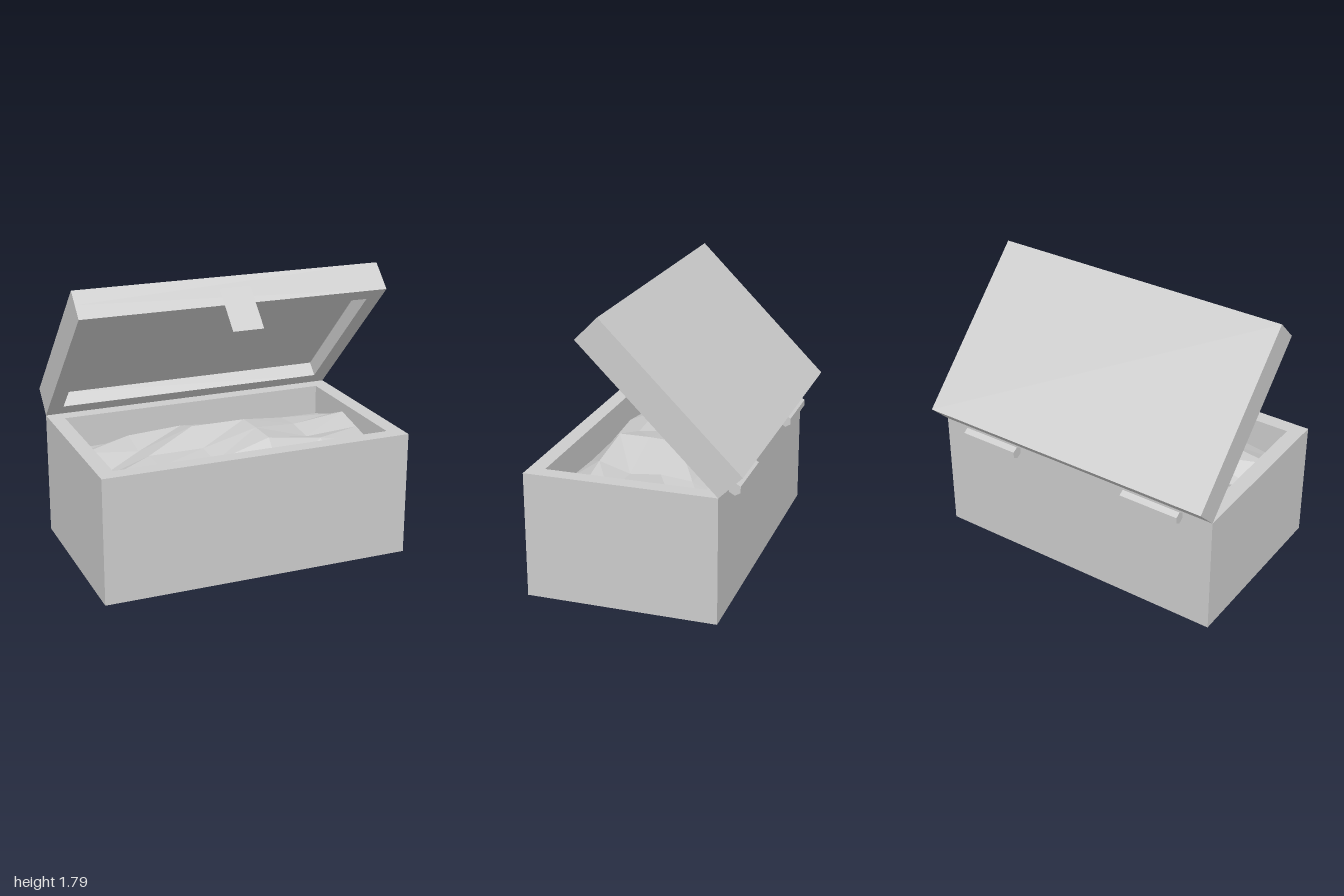
import * as THREE from 'three';

const grey = new THREE.MeshStandardMaterial({ color: 0xcccccc, flatShading: true });
const greyThin = new THREE.MeshStandardMaterial({ color: 0xcccccc, flatShading: true, side: THREE.DoubleSide });

const WIDTH = 2, DEPTH = 1.2, WALL = 0.1;
const INNER_W = WIDTH - 2 * WALL, INNER_D = DEPTH - 2 * WALL;

function part(name, geometry, material = grey) {
  const mesh = new THREE.Mesh(geometry, material);
  mesh.name = name;
  return mesh;
}

function rectangle(PathType, w, d) {
  return new PathType([[-w, -d], [w, -d], [w, d], [-w, d]].map(([x, y]) => new THREE.Vector2(x / 2, y / 2)));
}

// Rectangular ring of walls standing on y = 0
function wallRing(height) {
  const shape = rectangle(THREE.Shape, WIDTH, DEPTH);
  shape.holes.push(rectangle(THREE.Path, INNER_W, INNER_D));
  return new THREE.ExtrudeGeometry(shape, { depth: height, bevelEnabled: false }).rotateX(-Math.PI / 2);
}

// Uneven heap: a 5 x 5 faceted sheet, one row of heights per step from back to front
function heap() {
  const heights = [
    [0.58, 0.59, 0.62, 0.62, 0.59, 0.60],
    [0.62, 0.70, 0.72, 0.66, 0.68, 0.66],
    [0.70, 0.66, 0.78, 0.78, 0.70, 0.74],
    [0.58, 0.70, 0.70, 0.79, 0.68, 0.70],
    [0.66, 0.70, 0.68, 0.79, 0.74, 0.66],
    [0.56, 0.61, 0.58, 0.58, 0.60, 0.60],
  ].flat();
  const geometry = new THREE.PlaneGeometry(INNER_W, INNER_D, 5, 5).rotateX(-Math.PI / 2);
  heights.forEach((h, i) => geometry.attributes.position.setY(i, h));
  geometry.computeVertexNormals();
  return geometry;
}

export function createModel() {
  const model = new THREE.Group();
  model.name = 'openChest';

  // Open box with its contents
  const body = new THREE.Group();
  body.name = 'body';
  body.position.z = 0.07;
  body.add(part('bodyWalls', wallRing(0.8)));
  body.add(part('bodyFloor', new THREE.BoxGeometry(INNER_W, WALL, INNER_D).translate(0, WALL / 2, 0)));
  body.add(part('contents', heap(), greyThin));
  model.add(body);

  // Lid hollowed from below, turned up about its back lower edge
  const lid = new THREE.Group();
  lid.name = 'lid';
  lid.position.set(0, 0.8, -0.53);
  lid.rotation.x = -Math.PI / 4;
  lid.add(part('lidRim', wallRing(0.1).translate(0, 0, DEPTH / 2)));
  lid.add(part('lidTop', new THREE.BoxGeometry(WIDTH, 0.1, DEPTH).translate(0, 0.15, DEPTH / 2)));
  // Thin latch plate just off the lid's front face
  lid.add(part('latch', new THREE.PlaneGeometry(0.2, 0.3).translate(0, -0.04, DEPTH + 0.01), greyThin));
  model.add(lid);

  // Six-sided hinge barrels behind the back wall
  for (const [name, side] of [['leftHinge', 1], ['rightHinge', -1]]) {
    const hinge = part(name, new THREE.CylinderGeometry(0.04, 0.04, 0.4, 6).rotateY(Math.PI / 2).rotateZ(Math.PI / 2));
    hinge.position.set(side * 0.6, 0.78, -0.57);
    model.add(hinge);
  }
  return model;
}
